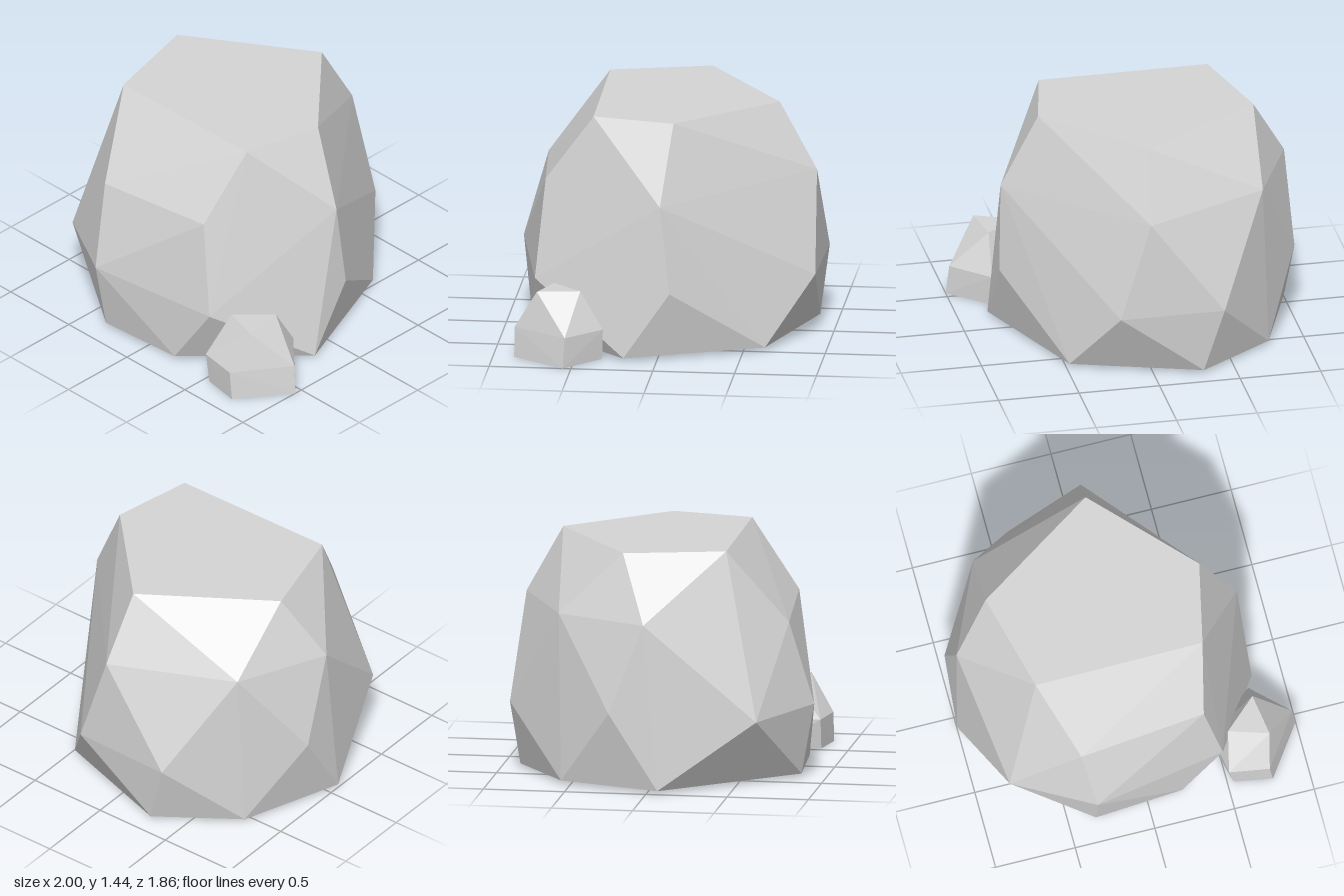
import * as THREE from 'three';
import { ConvexGeometry } from 'three/addons/geometries/ConvexGeometry.js';

// Each stone is the faceted hull of a few uneven rings of corners [x, y, z].
function stone(name, rings, material) {
  const points = rings.flat().map((p) => new THREE.Vector3(...p));
  const mesh = new THREE.Mesh(new ConvexGeometry(points), material);
  mesh.name = name;
  return mesh;
}

// A level ring of [x, z] corners at one height.
const level = (y, corners) => corners.map(([x, z]) => [x, y, z]);

export function createModel() {
  const grey = new THREE.MeshStandardMaterial({ color: 0xd5d5d5 });
  grey.name = 'stoneGrey';

  const group = new THREE.Group();
  group.name = 'rocks';

  // Large boulder: flat top, upper ring, lower ring, flat base
  group.add(stone('boulder', [
    level(1.44, [[-0.6, 0.43], [0.45, 0.42], [0.56, -0.08], [0, -0.67], [-0.755, -0.18]]),
    [[-0.405, 0.975, 0.785], [0.38, 1.02, 0.72], [0.78, 0.97, -0.02],
      [0.03, 1.03, -0.9], [-0.73, 1.05, -0.58], [-0.98, 1.04, -0.02]],
    [[-0.82, 0.43, 0.65], [-0.34, 0.46, 0.93], [0.485, 0.42, 0.775], [0.8, 0.43, -0.08],
      [0.22, 0.42, -0.91], [-0.42, 0.43, -0.93], [-1, 0.49, -0.23]],
    level(0.022, [[-1, 0.07], [-0.33, 0.85], [0.22, 0.81], [0.815, 0.2],
      [0.48, -0.63], [-0.3, -0.885], [-0.77, -0.56]]),
  ], grey));

  // Small stone leaning against the boulder
  group.add(stone('smallStone', [
    [[0.55, 0.41, 0.65], [0.79, 0.42, 0.73], [0.75, 0.42, 0.47]],
    level(0.185, [[0.51, 0.83], [0.755, 0.87], [0.98, 0.54], [0.76, 0.33], [0.465, 0.56]]),
    level(0, [[0.54, 0.83], [0.775, 0.87], [1, 0.55], [0.76, 0.335], [0.46, 0.52]]),
  ], grey));

  return group;
}
